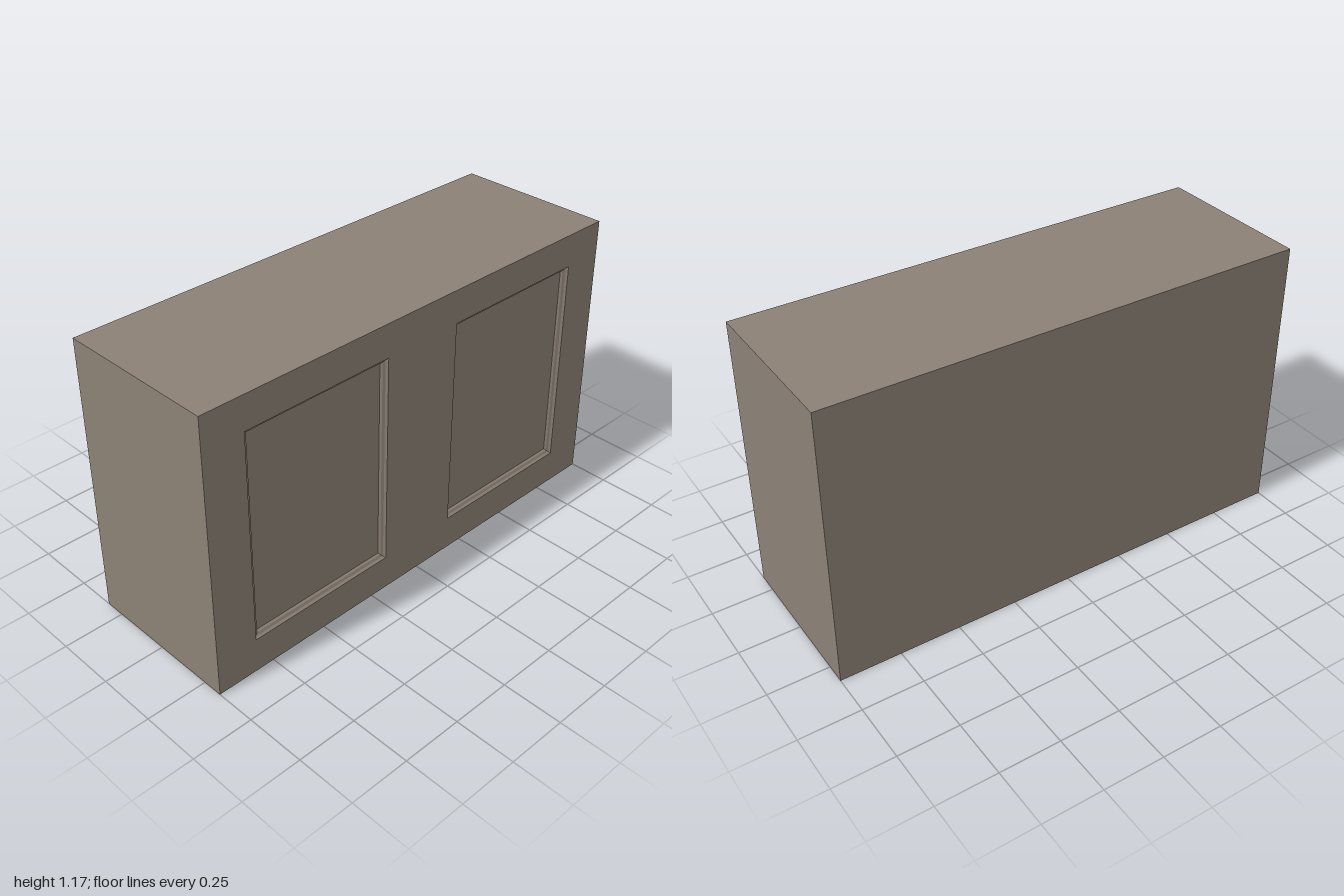
import * as THREE from 'three';

const W = 2, H = 1.167, D = 0.667;
const PANEL = { cx: 0.5, cy: 0.587, w: 0.65, h: 0.885 };
// moulding profile from the face inwards: [inset, depth]
const PROFILE = [[0, 0], [0.006, 0.009], [0.016, 0.014], [0.021, 0.022]];

// counter-clockwise corners of a panel outline
function corners(cx, inset) {
  const x = PANEL.w / 2 - inset, y = PANEL.h / 2 - inset;
  return [[-1, -1], [1, -1], [1, 1], [-1, 1]].map(([a, b]) => [cx + a * x, PANEL.cy + b * y]);
}

// stepped rings sinking into the face, closed by a flat panel
function recessGeometry(cx) {
  const rings = PROFILE.map(([inset, depth]) =>
    corners(cx, inset).map(([x, y]) => [x, y, D / 2 - depth]));
  const pos = [];
  const quad = (a, b, c, d) => pos.push(...a, ...b, ...c, ...a, ...c, ...d);
  for (let r = 0; r < rings.length - 1; r++) {
    for (let i = 0; i < 4; i++) {
      const j = (i + 1) % 4;
      quad(rings[r][i], rings[r][j], rings[r + 1][j], rings[r + 1][i]);
    }
  }
  quad(...rings[rings.length - 1]);
  const geo = new THREE.BufferGeometry();
  geo.setAttribute('position', new THREE.Float32BufferAttribute(pos, 3));
  geo.computeVertexNormals();
  return geo;
}

export function createModel() {
  const group = new THREE.Group();
  const material = new THREE.MeshStandardMaterial({ color: 0x8c8176 });
  const add = (name, geo) => {
    const mesh = new THREE.Mesh(geo, material);
    mesh.name = name;
    group.add(mesh);
  };

  // carcass: a box without its front (+z) face
  const box = new THREE.BoxGeometry(W, H, D).translate(0, H / 2, 0);
  const index = Array.from(box.index.array);
  index.splice(24, 6);
  box.setIndex(index);
  box.clearGroups();
  add('carcass', box);

  // front face with two panel openings
  const face = new THREE.Shape([[-1, 0], [1, 0], [1, H], [-1, H]].map(p => new THREE.Vector2(...p)));
  const sides = [['left', 1], ['right', -1]];
  for (const [, s] of sides) {
    const outline = corners(s * PANEL.cx, 0).reverse();
    face.holes.push(new THREE.Path(outline.map(p => new THREE.Vector2(...p))));
  }
  add('frontFrame', new THREE.ShapeGeometry(face).translate(0, 0, D / 2));

  // moulded recessed panels
  for (const [side, s] of sides) add(side + 'Panel', recessGeometry(s * PANEL.cx));

  return group;
}
